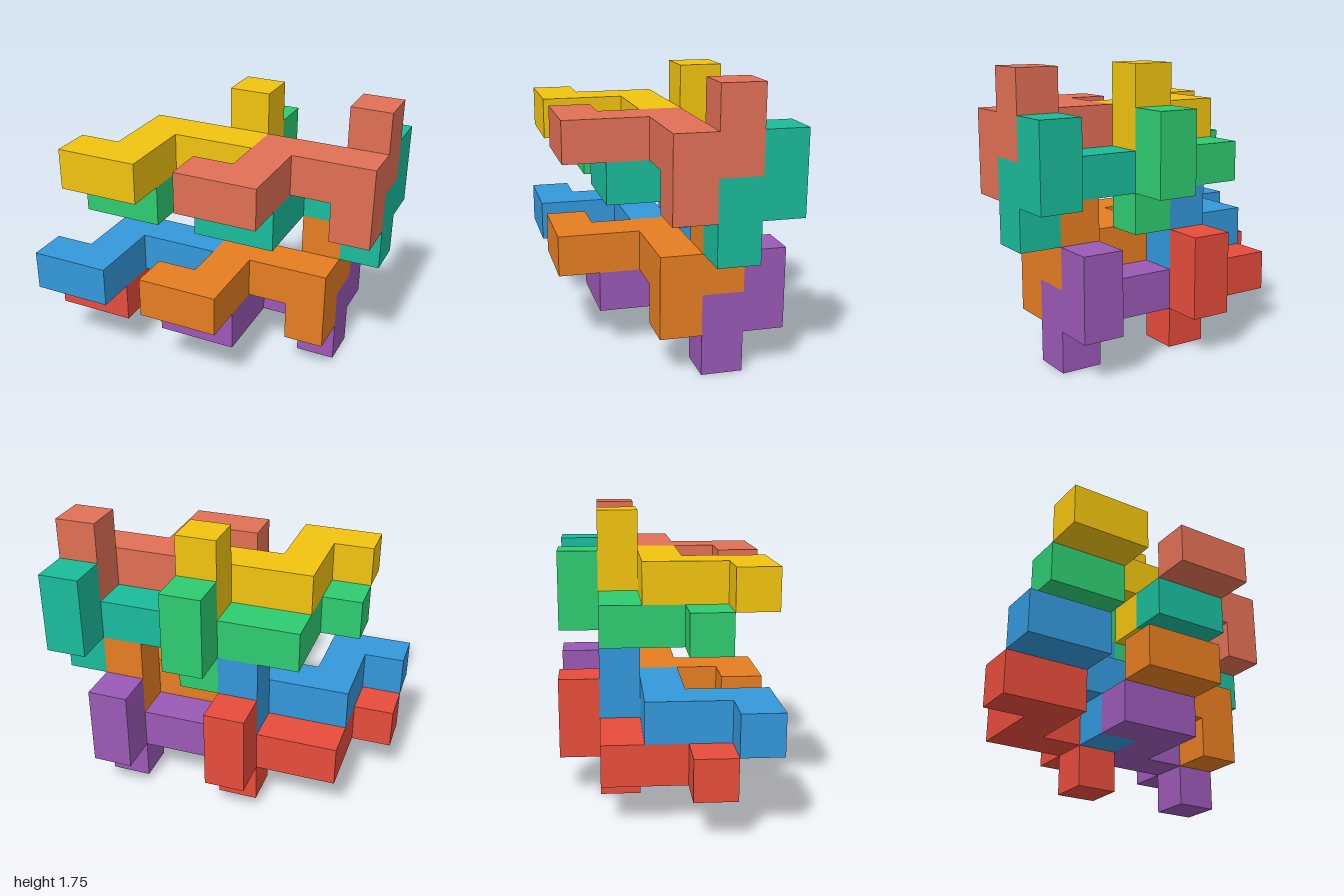
import * as THREE from 'three';
import { mergeGeometries } from 'three/addons/utils/BufferGeometryUtils.js';

const CELL = 0.25;

// Nine-cell puzzle piece as [x, y, z] grid cells: a zigzag arm, a foot and an upright
const PIECE = [
  [0, 1, 3], [1, 1, 3], [1, 1, 2], [1, 1, 1], [2, 1, 1], [3, 1, 1],
  [3, 0, 1], [3, 1, 0], [3, 2, 0],
];

// Outward directions of a cell, each with the rotation that turns a +z plane that way
const SIDES = [
  [[0, 0, 1], 0, 0], [[0, 0, -1], 0, Math.PI],
  [[1, 0, 0], 0, Math.PI / 2], [[-1, 0, 0], 0, -Math.PI / 2],
  [[0, 1, 0], -Math.PI / 2, 0], [[0, -1, 0], Math.PI / 2, 0],
];

// Closed skin of the piece: only faces with no neighbouring cell
function pieceGeometry() {
  const filled = new Set(PIECE.map((c) => c.join()));
  const faces = [];
  for (const cell of PIECE) {
    for (const [dir, rx, ry] of SIDES) {
      if (filled.has(cell.map((v, i) => v + dir[i]).join())) continue;
      const face = new THREE.PlaneGeometry(CELL, CELL);
      face.rotateX(rx).rotateY(ry);
      face.translate(...cell.map((v, i) => (v + 0.5 + dir[i] / 2) * CELL));
      faces.push(face);
    }
  }
  return mergeGeometries(faces);
}

// Grid offset and colour of each interlocking piece
const PIECES = [
  ['redPiece', [0, 0, 0], 0xe74c3c],
  ['purplePiece', [3, 0, 0], 0x9b59b6],
  ['bluePiece', [0, 1, 1], 0x3498db],
  ['orangePiece', [3, 1, 1], 0xe67e22],
  ['greenPiece', [1, 3, 0], 0x2ecc71],
  ['tealPiece', [4, 3, 0], 0x1abc9c],
  ['yellowPiece', [1, 4, 1], 0xf1c40f],
  ['salmonPiece', [4, 4, 1], 0xe17055],
];

export function createModel() {
  const model = new THREE.Group();
  model.name = 'interlockingBlocks';
  const geometry = pieceGeometry();
  for (const [name, [x, y, z], color] of PIECES) {
    const mesh = new THREE.Mesh(geometry, new THREE.MeshStandardMaterial({ color }));
    mesh.name = name;
    mesh.position.set(x * CELL - 1, y * CELL, z * CELL - 0.625);
    model.add(mesh);
  }
  return model;
}
